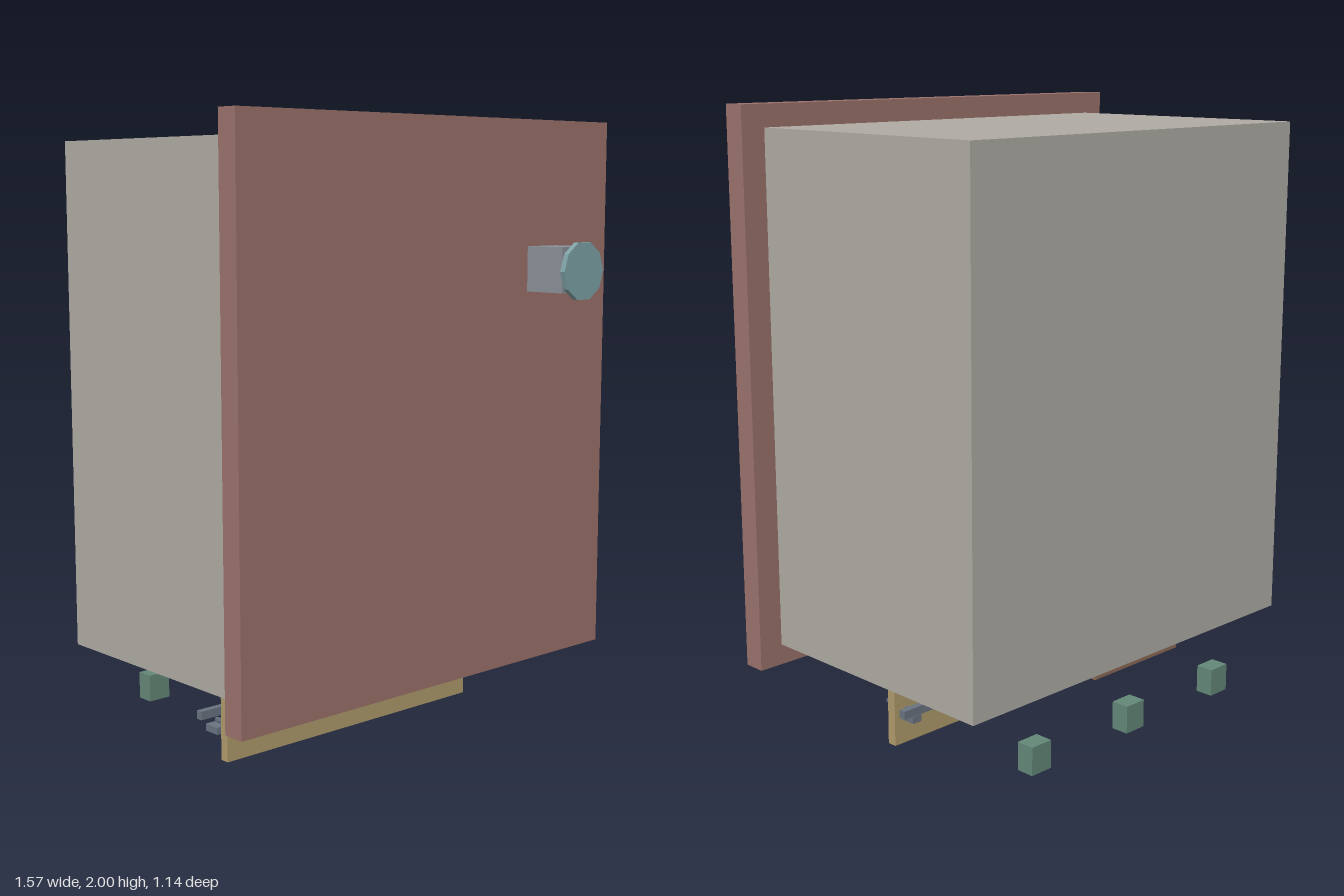
import * as THREE from 'three';

const mat = (color) => new THREE.MeshStandardMaterial({ color, flatShading: true });
const COLORS = {
  shell: mat(0xb0aca4), door: mat(0x9c726c), stem: mat(0x8a9298), knob: mat(0x7fa3a8),
  board: mat(0xb09c6c), steel: mat(0x6a7480), foot: mat(0x648878), pad: mat(0x6f9499),
  plate: mat(0xa9adaa), strip: mat(0xa08070), tray: mat(0x8e6a58), glass: mat(0x7b868c),
};

// Box given by its [min, max] range on each axis
function block(parent, name, material, [x0, x1], [y0, y1], [z0, z1]) {
  const mesh = new THREE.Mesh(new THREE.BoxGeometry(x1 - x0, y1 - y0, z1 - z0), material);
  mesh.position.set((x0 + x1) / 2, (y0 + y1) / 2, (z0 + z1) / 2);
  mesh.name = name;
  parent.add(mesh);
  return mesh;
}

const around = (c, size) => [c - size / 2, c + size / 2];

export function createModel() {
  const model = new THREE.Group();
  model.name = 'cabinet';

  // Cabinet shell and oversized door
  block(model, 'shell', COLORS.shell, [-0.708, 0.705], [0.295, 1.93], [-0.57, 0.32]);
  block(model, 'door', COLORS.door, [-0.787, 0.787], [0.228, 2], [0.32, 0.395]);

  // Knob: square stem with a ten-sided disc held just in front of it
  block(model, 'knobStem', COLORS.stem, [0.4, 0.54], [1.455, 1.6], [0.395, 0.54]);
  const disc = new THREE.CylinderGeometry(0.095, 0.095, 0.018, 10);
  disc.rotateY(Math.PI / 10).rotateX(Math.PI / 2);
  const knob = new THREE.Mesh(disc, COLORS.knob);
  knob.name = 'knobDisc';
  knob.position.set(0.471, 1.524, 0.561);
  model.add(knob);

  // Hanging board with its rail, pins and blocks
  const board = new THREE.Group();
  board.name = 'underBoard';
  model.add(board);
  block(board, 'boardPanel', COLORS.board, [-0.535, 0.53], [0, 0.285], [-0.027, 0.005]);
  block(board, 'rail', COLORS.steel, [-0.568, 0.56], [0.122, 0.15], [-0.107, -0.085]);
  for (let i = 0; i < 8; i++) {
    block(board, 'pin', COLORS.steel, around(-0.512 + 0.142 * i, 0.011), around(0.116, 0.011), [-0.08, 0.062]);
  }
  for (let i = 0; i < 5; i++) {
    block(board, 'railBlock', COLORS.steel, around(-0.533 + 0.255 * i, 0.035), [0.085, 0.108], [-0.085, -0.027]);
  }

  // Two rows of three pads under the shell, each with a strip on its rear edge
  for (const z of [0.18, -0.142]) {
    for (const x of [-0.45, 0, 0.45]) {
      const unit = new THREE.Group();
      unit.name = 'padUnit';
      unit.position.set(x, 0, z);
      model.add(unit);
      block(unit, 'padPlate', COLORS.plate, around(0, 0.24), [0.277, 0.295], around(0, 0.2));
      block(unit, 'pad', COLORS.pad, around(0, 0.2), [0.265, 0.277], around(0.005, 0.165));
      block(unit, 'padStrip', COLORS.strip, around(0, 0.22), [0.246, 0.27], around(-0.093, 0.014));
    }
  }

  // Tray at the rear of the underside
  block(model, 'trayFrame', COLORS.tray, [-0.197, 0.19], [0.283, 0.298], [-0.569, -0.082]);
  block(model, 'trayPanel', COLORS.glass, [-0.145, 0.14], [0.272, 0.283], [-0.52, -0.24]);

  // Row of small rear feet
  for (const x of [-0.425, 0, 0.425]) {
    block(model, 'rearFoot', COLORS.foot, around(x, 0.08), [0.06, 0.15], [-0.57, -0.51]);
  }

  return model;
}
